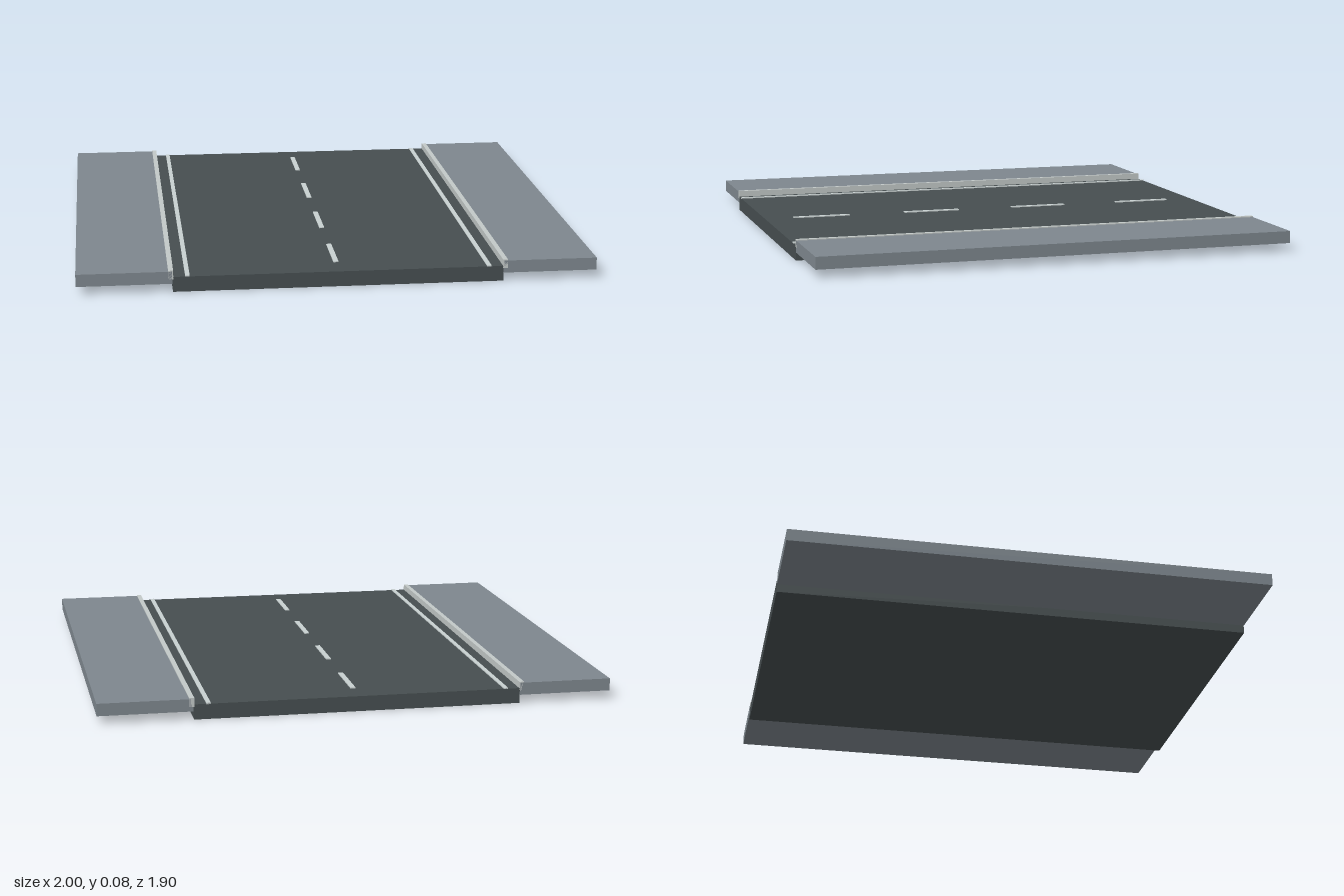
import * as THREE from 'three';

const LENGTH = 1.9;

export function createModel() {
  const group = new THREE.Group();
  group.name = 'roadSection';

  const mat = (name, color) => {
    const m = new THREE.MeshStandardMaterial({ color });
    m.name = name;
    return m;
  };
  const asphalt = mat('asphalt', 0x464e50);
  const paving = mat('paving', 0x7e878e);
  const curbStone = mat('curbStone', 0xc3c9c8);
  const paint = mat('roadPaint', 0xc8d0d0);

  // Box given by its x, y and z ranges
  const slab = (name, material, [x0, x1], [y0, y1], [z0, z1]) => {
    const mesh = new THREE.Mesh(new THREE.BoxGeometry(x1 - x0, y1 - y0, z1 - z0), material);
    mesh.position.set((x0 + x1) / 2, (y0 + y1) / 2, (z0 + z1) / 2);
    mesh.name = name;
    group.add(mesh);
  };
  const full = [-LENGTH / 2, LENGTH / 2];

  slab('roadBed', asphalt, [-0.635, 0.635], [0, 0.059], full);

  // Pavement, curb and edge line on both sides
  for (const [side, s] of [['left', 1], ['right', -1]]) {
    const span = (a, b) => (s > 0 ? [a, b] : [-b, -a]);
    slab(side + 'Pavement', paving, span(0.637, 1), [0.032, 0.08], full);
    slab(side + 'Curb', curbStone, span(0.633, 0.652), [0.05, 0.084], full);
    slab(side + 'EdgeLine', paint, span(0.571, 0.588), [0.057, 0.063], full);
  }

  // Dashed centre line, four equal spacings along the road
  for (let i = 0; i < 4; i++) {
    const z = (i - 1.5) * LENGTH / 4;
    slab('centreDash' + (i + 1), paint, [-0.01, 0.01], [0.057, 0.063], [z - 0.119, z + 0.119]);
  }

  return group;
}
